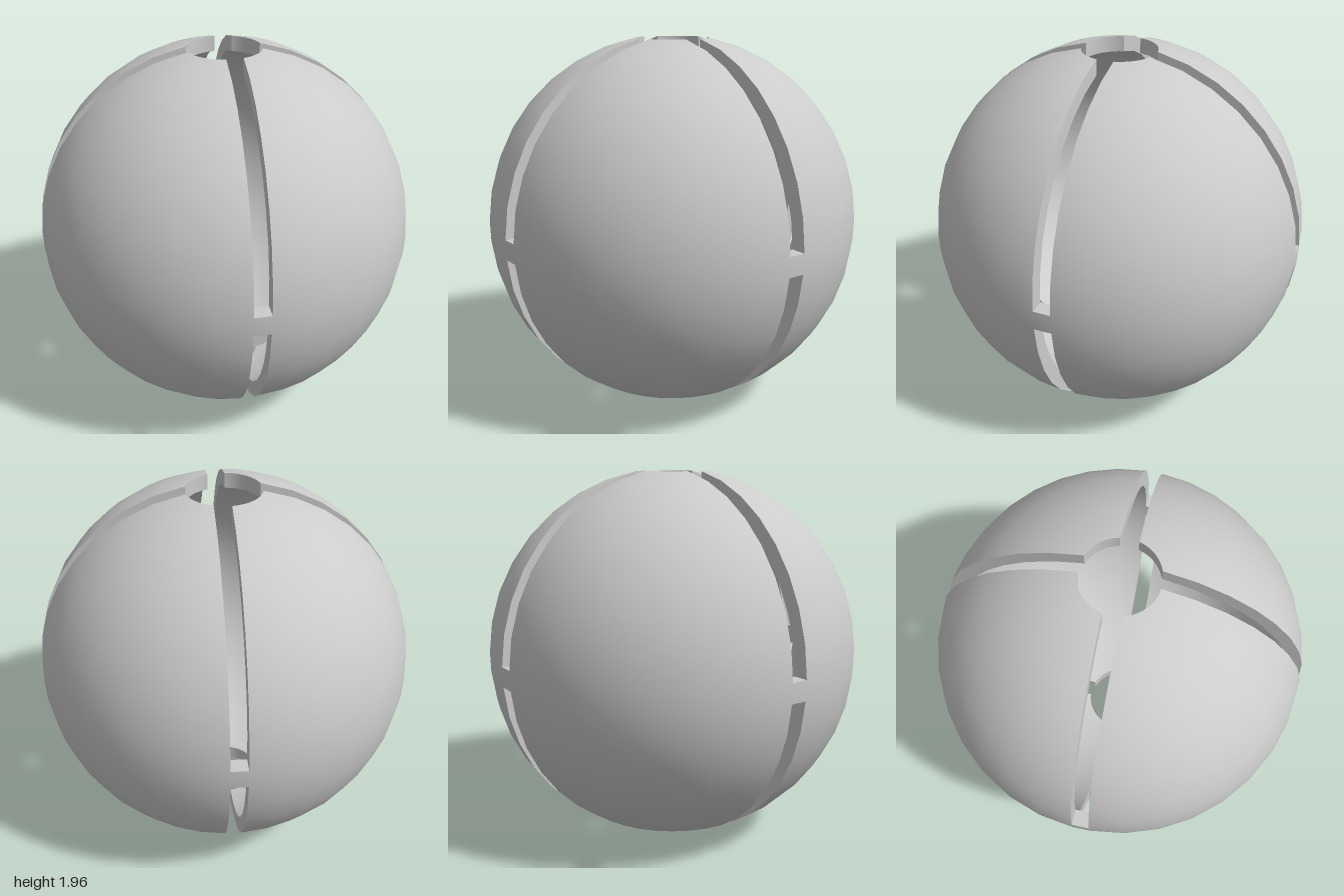
import * as THREE from 'three';
import { mergeGeometries } from 'three/addons/utils/BufferGeometryUtils.js';
import { ParametricGeometry } from 'three/addons/geometries/ParametricGeometry.js';

const OUTER = 1, INNER = 0.92, HOLE = 0.195, CENTER_Y = 0.98;
const BRIDGE_LOW = -0.075, BRIDGE_HIGH = 0.03; // heights relative to the centre

// The four slots, counter-clockwise from +x: offsets of their two edges, and a small twist
const SLOTS = [
  { edges: [-0.05, 0.04], twist: 0 },
  { edges: [-0.067, 0.02], twist: -0.0055 },
  { edges: [-0.04, 0.05], twist: 0 },
  { edges: [-0.02, 0.067], twist: -0.0055 },
];

// Azimuth at which a flat slot edge meets the circle of radius rho
function slotEdge(k, side, rho) {
  const slot = SLOTS[k % 4];
  return k * Math.PI / 2 + slot.twist + Math.asin(slot.edges[side] / rho);
}
const panelSpan = k => rho => [slotEdge(k, 1, rho), slotEdge(k + 1, 0, rho)];
const bridgeSpan = k => rho => [slotEdge(k, 0, rho), slotEdge(k, 1, rho)];

// Latitude ranges, for a sphere of radius R
const upper = R => [Math.asin(BRIDGE_HIGH / R), Math.acos(HOLE / R)];
const band = R => [Math.asin(BRIDGE_LOW / R), Math.asin(BRIDGE_HIGH / R)];
const lower = R => [-Math.acos(HOLE / R), Math.asin(BRIDGE_LOW / R)];

// Curved block of shell; walls lists which of its edges are closed
function shellBlock(span, latitudes, cols, rows, walls) {
  const at = (s, u, v, target) => {
    const R = THREE.MathUtils.lerp(INNER, OUTER, s);
    const [low, high] = latitudes(R);
    const lat = THREE.MathUtils.lerp(low, high, v);
    const rho = R * Math.cos(lat);
    const [start, end] = span(rho);
    const az = THREE.MathUtils.lerp(start, end, u);
    target.set(rho * Math.cos(az), CENTER_Y + R * Math.sin(lat), -rho * Math.sin(az));
  };
  const faces = [
    new ParametricGeometry((u, v, t) => at(1, u, v, t), cols, rows),
    new ParametricGeometry((u, v, t) => at(0, 1 - u, v, t), cols, rows),
  ];
  if (walls.includes('sides')) faces.push(
    new ParametricGeometry((s, v, t) => at(s, 0, v, t), 1, rows),
    new ParametricGeometry((s, v, t) => at(1 - s, 1, v, t), 1, rows));
  if (walls.includes('top')) faces.push(
    new ParametricGeometry((u, s, t) => at(1 - s, u, 1, t), cols, 1));
  if (walls.includes('bottom')) faces.push(
    new ParametricGeometry((u, s, t) => at(s, u, 0, t), cols, 1));
  return mergeGeometries(faces);
}

export function createModel() {
  const group = new THREE.Group();
  const material = new THREE.MeshStandardMaterial({ color: 0xcccccc });
  const add = (name, geometry) => {
    const mesh = new THREE.Mesh(geometry, material);
    mesh.name = name;
    group.add(mesh);
  };

  for (let k = 0; k < 4; k++) {
    // Quarter of the hollow shell, with slot walls and the rims of the pole holes
    add('shellPanel' + (k + 1), mergeGeometries([
      shellBlock(panelSpan(k), upper, 8, 8, ['sides', 'top']),
      shellBlock(panelSpan(k), band, 8, 1, []),
      shellBlock(panelSpan(k), lower, 8, 8, ['sides', 'bottom']),
    ]));
    // Short link across the slot at the equator
    add('equatorBridge' + (k + 1), shellBlock(bridgeSpan(k), band, 1, 1, ['top', 'bottom']));
  }
  return group;
}
